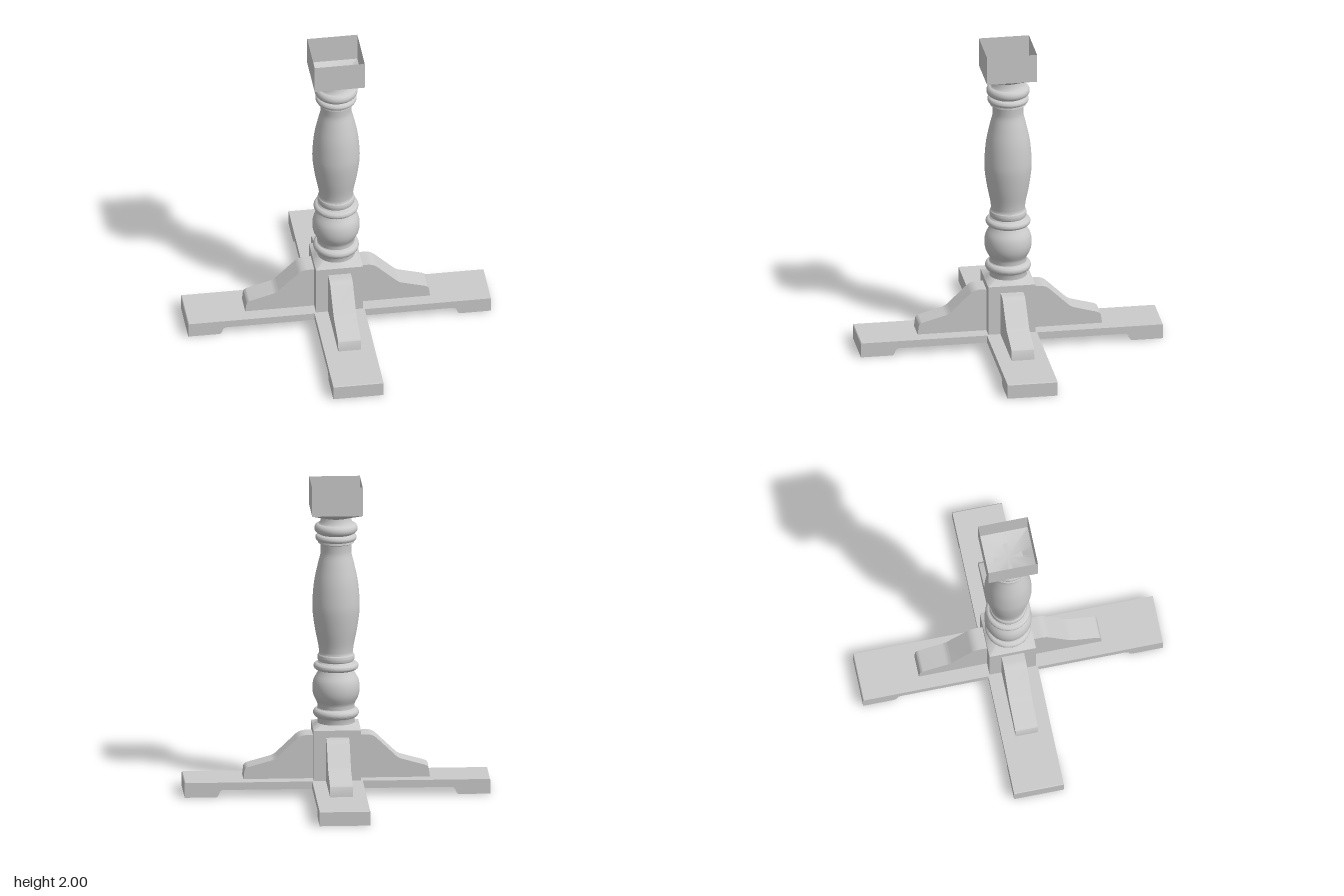
import * as THREE from 'three';
import { toCreasedNormals } from 'three/addons/utils/BufferGeometryUtils.js';

const material = new THREE.MeshStandardMaterial({ color: 0xcccccc, side: THREE.DoubleSide });

function addMesh(parent, geometry, name, crease = 0.6) {
  const mesh = new THREE.Mesh(toCreasedNormals(geometry, crease), material);
  mesh.name = name;
  parent.add(mesh);
  return mesh;
}

// Lathe whose rings marked 'square' are pushed out to a square of the same half-width
function squareLathe(rings) {
  const geometry = new THREE.LatheGeometry(rings.map(([r, y]) => new THREE.Vector2(r, y)), 64);
  const pos = geometry.attributes.position;
  for (let i = 0; i < pos.count; i++) {
    const [r, , square] = rings[i % rings.length];
    if (!square) continue;
    const x = pos.getX(i), z = pos.getZ(i);
    const k = r / Math.max(Math.abs(x), Math.abs(z));
    pos.setXYZ(i, x * k, pos.getY(i), z * k);
  }
  return geometry;
}

// Side profile extruded to a given width, centred on z = 0
function slab(shape, width) {
  const geometry = new THREE.ExtrudeGeometry(shape, { depth: width, bevelEnabled: false, curveSegments: 6 });
  return geometry.translate(0, 0, -width / 2);
}

// Leave out the faces lying on y = 0, so the feet are hollow
function openBottom(geometry) {
  const p = geometry.attributes.position, kept = [];
  for (let i = 0; i < p.count; i += 3) {
    if ([0, 1, 2].every((j) => Math.abs(p.getY(i + j)) < 1e-5)) continue;
    for (let j = 0; j < 3; j++) kept.push(p.getX(i + j), p.getY(i + j), p.getZ(i + j));
  }
  const open = new THREE.BufferGeometry();
  open.setAttribute('position', new THREE.Float32BufferAttribute(kept, 3));
  return open;
}

// Rounded bead and smooth curve pieces of the turned profile
function bead(y, r, halfHeight, depth) {
  return Array.from({ length: 11 }, (_, i) => {
    const a = -Math.PI / 2 + (Math.PI * i) / 10;
    return new THREE.Vector2(r - depth + depth * Math.cos(a), y + halfHeight * Math.sin(a));
  });
}
function sweep(points, n) {
  return new THREE.SplineCurve(points.map(([r, y]) => new THREE.Vector2(r, y))).getPoints(n);
}

function columnProfile() {
  return [
    new THREE.Vector2(0.118, 0.44),
    new THREE.Vector2(0.118, 0.475),
    ...bead(0.508, 0.145, 0.027, 0.024),
    new THREE.Vector2(0.117, 0.54),
    new THREE.Vector2(0.117, 0.56),
    // lower bulb
    ...sweep([[0.12, 0.572], [0.143, 0.62], [0.15, 0.67], [0.142, 0.72], [0.118, 0.765], [0.108, 0.785]], 20),
    ...bead(0.81, 0.142, 0.023, 0.024),
    new THREE.Vector2(0.11, 0.842),
    ...bead(0.866, 0.117, 0.022, 0.007),
    // long vase
    ...sweep([[0.107, 0.9], [0.113, 0.95], [0.133, 1.05], [0.148, 1.16], [0.149, 1.24],
      [0.138, 1.36], [0.115, 1.47], [0.099, 1.535], [0.097, 1.57], [0.099, 1.605]], 32),
    new THREE.Vector2(0.115, 1.612),
    ...bead(1.645, 0.131, 0.02, 0.018),
    new THREE.Vector2(0.108, 1.668),
    ...bead(1.704, 0.137, 0.031, 0.026),
    new THREE.Vector2(0.1, 1.748),
    new THREE.Vector2(0.096, 1.778),
  ];
}

export function createModel() {
  const model = new THREE.Group();
  model.name = 'pedestalTableBase';

  addMesh(model, new THREE.LatheGeometry(columnProfile(), 48), 'turnedColumn');

  // Square plinth, eased into the round column
  addMesh(model, squareLathe([
    [0.15, 0.095, true], [0.15, 0.42, true], [0.12, 0.445, false],
  ]), 'plinth', 0.5);

  // Open square cup with a round floor
  addMesh(model, squareLathe([
    [0, 1.778, false], [0.095, 1.778, false], [0.16, 1.815, true], [0.16, 2, true],
  ]), 'topCup', 0.5);

  // Centre of the crossed base
  const hub = new THREE.BoxGeometry(0.32, 0.048, 0.32).translate(0, 0.071, 0);
  addMesh(model, hub, 'baseHub');

  // Base arm with a raised underside and a foot at the end
  const arm = new THREE.Shape();
  arm.moveTo(0.16, 0.047);
  arm.lineTo(0.725, 0.047);
  arm.quadraticCurveTo(0.74, 0.045, 0.746, 0.03);
  arm.quadraticCurveTo(0.752, 0.008, 0.765, 0);
  arm.lineTo(0.967, 0);
  arm.lineTo(0.967, 0.09);
  arm.lineTo(0.962, 0.095);
  arm.lineTo(0.16, 0.095);
  arm.closePath();

  // Curved brace standing on the arm
  const brace = new THREE.Shape();
  brace.moveTo(0.14, 0.095);
  brace.lineTo(0.59, 0.095);
  brace.lineTo(0.583, 0.15);
  brace.quadraticCurveTo(0.579, 0.168, 0.55, 0.175);
  brace.lineTo(0.42, 0.211);
  brace.quadraticCurveTo(0.395, 0.217, 0.376, 0.234);
  brace.lineTo(0.254, 0.35);
  brace.quadraticCurveTo(0.23, 0.373, 0.196, 0.375);
  brace.lineTo(0.14, 0.375);
  brace.closePath();

  const armGeometry = openBottom(slab(arm, 0.32));
  const braceGeometry = slab(brace, 0.145);
  for (let i = 0; i < 4; i++) {
    const leg = new THREE.Group();
    leg.name = `leg${i + 1}`;
    addMesh(leg, armGeometry, 'baseArm');
    addMesh(leg, braceGeometry, 'brace');
    leg.rotation.y = (i * Math.PI) / 2;
    model.add(leg);
  }
  return model;
}
